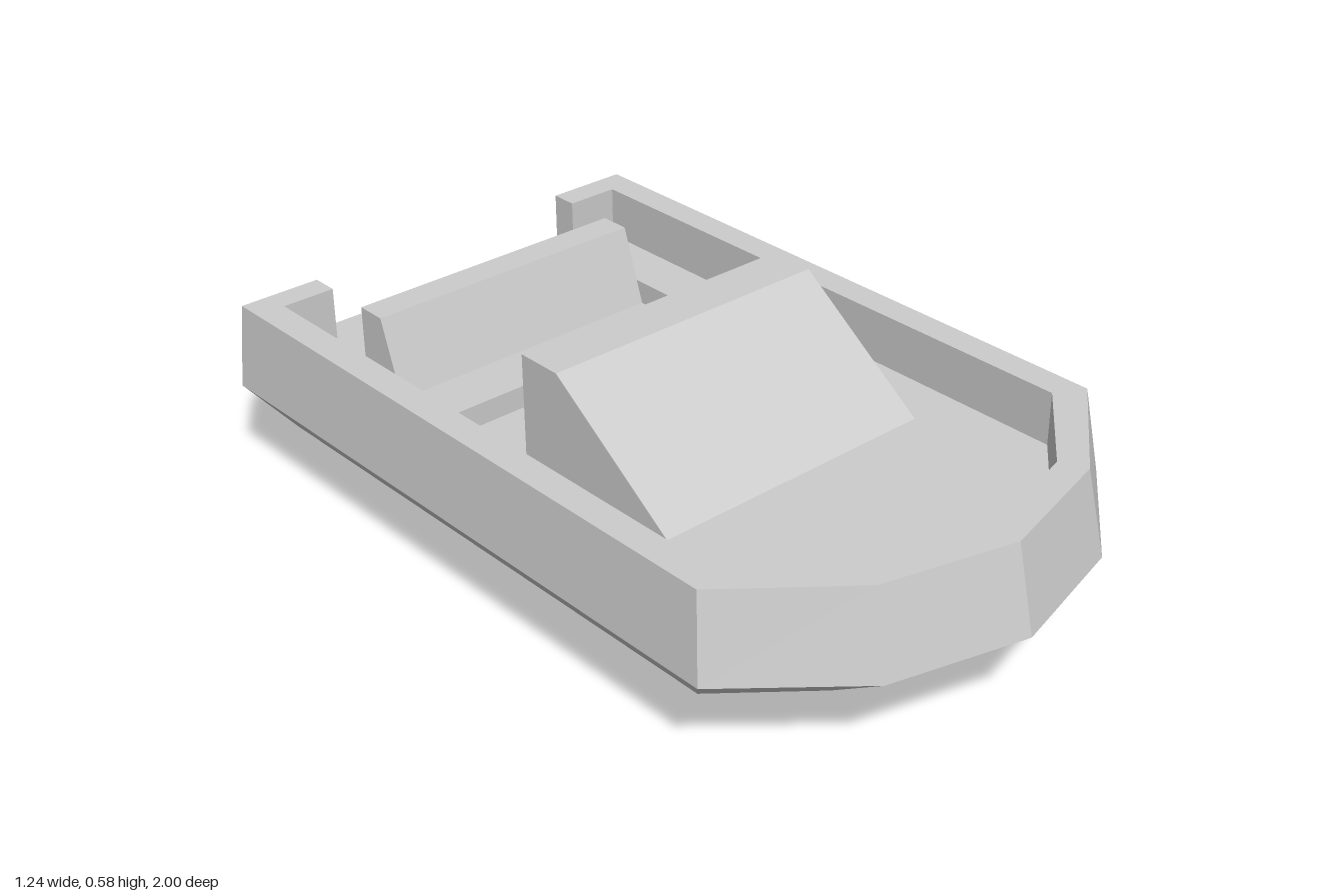
import * as THREE from 'three';

const SHEER = 0.455, DECK = 0.32, WELL = 0.2, HALF = 0.385;

// Hull stations at each height: half width, shoulder end z, bow half width, bow z, tip z
const LEVELS = [
  { y: 0, w: 0.285, z1: 0.26, m: 0.16, z2: 0.36, tip: 0.4 },
  { y: 0.07, w: 0.475, z1: 0.51, m: 0.26, z2: 0.69, tip: 0.76 },
  { y: 0.245, w: 0.62, z1: 0.67, m: 0.34, z2: 0.91, tip: 1 },
  { y: SHEER, w: 0.595, z1: 0.64, m: 0.325, z2: 0.865, tip: 0.95 },
];
const INNER = { w: 0.52, z1: 0.6, m: 0.295, z2: 0.8, tip: 0.88 };

// Plan outline from one stern corner round the bow to the other
const outline = ({ w, z1, m, z2, tip }, stern = -1) => [
  [-w, stern], [-w, z1], [-m, z2], [0, tip], [m, z2], [w, z1], [w, stern],
];
const toShape = (pts) => new THREE.Shape(pts.map(([a, b]) => new THREE.Vector2(a, b)));

// Plan shape (x, z) extruded downward from a top height
function slab(shape, top, depth) {
  return new THREE.ExtrudeGeometry(shape, { depth, bevelEnabled: false })
    .rotateX(Math.PI / 2).translate(0, top, 0);
}

// Side profile (z, y) extruded across the boat
function across(pts) {
  return new THREE.ExtrudeGeometry(toShape(pts), { depth: HALF * 2, bevelEnabled: false })
    .rotateY(-Math.PI / 2).translate(HALF, 0, 0);
}

// Faceted skin joining the hull levels
function hullSkin() {
  const rows = LEVELS.map((l) => outline(l).map(([x, z]) => [x, l.y, z]));
  const pos = [];
  for (let r = 0; r < rows.length - 1; r++) {
    for (let i = 0; i < rows[r].length - 1; i++) {
      const a = rows[r][i], b = rows[r][i + 1], c = rows[r + 1][i + 1], d = rows[r + 1][i];
      pos.push(...a, ...b, ...c, ...a, ...c, ...d);
    }
  }
  const g = new THREE.BufferGeometry();
  g.setAttribute('position', new THREE.Float32BufferAttribute(pos, 3));
  g.computeVertexNormals();
  return g;
}

export function createModel() {
  const group = new THREE.Group();
  const material = new THREE.MeshStandardMaterial({
    color: 0xcccccc, flatShading: true, side: THREE.DoubleSide,
  });
  const add = (name, geometry) => {
    const mesh = new THREE.Mesh(geometry, material);
    mesh.name = name;
    group.add(mesh);
  };

  // Hull sides and flat bottom
  add('hull', hullSkin());
  add('hullBottom', new THREE.ShapeGeometry(toShape(outline(LEVELS[0]))).rotateX(Math.PI / 2));

  // Transom with the wide notch down to the deck
  const right = LEVELS.map(({ w, y }) => [w, y]);
  const left = LEVELS.map(({ w, y }) => [-w, y]).reverse();
  const notch = [[0.38, SHEER], [0.38, DECK], [-0.38, DECK], [-0.38, SHEER]];
  add('transom', new THREE.ShapeGeometry(toShape([...right, ...notch, ...left]))
    .rotateY(Math.PI).translate(0, 0, -1));

  // Raised gunwale, returning inward at the stern on both sides of the notch
  const rim = [
    ...outline(LEVELS[3]), [0.38, -1], [0.38, -0.93],
    ...outline(INNER, -0.93).reverse(), [-0.38, -0.93], [-0.38, -1],
  ];
  add('gunwale', slab(toShape(rim), SHEER, SHEER - DECK));

  // Deck with the cockpit well cut through it
  const deck = toShape(outline(INNER));
  deck.holes.push(toShape([[-HALF, -0.7], [HALF, -0.7], [HALF, -0.165], [-HALF, -0.165]]));
  add('deck', slab(deck, DECK, DECK - WELL));
  add('cockpitFloor', new THREE.BoxGeometry(HALF * 2, 0.04, 0.6).translate(0, WELL - 0.02, -0.44));

  // Bench seat and sloped-front console
  add('seatBack', across([
    [-0.8, WELL], [-0.655, WELL], [-0.655, 0.26], [-0.72, SHEER], [-0.8, SHEER],
  ]));
  add('seatCushion', across([[-0.66, WELL], [-0.51, WELL], [-0.51, 0.26], [-0.66, 0.26]]));
  add('console', across([
    [-0.165, WELL], [0.25, WELL], [0.315, DECK], [-0.045, 0.577], [-0.165, 0.577],
  ]));

  return group;
}
